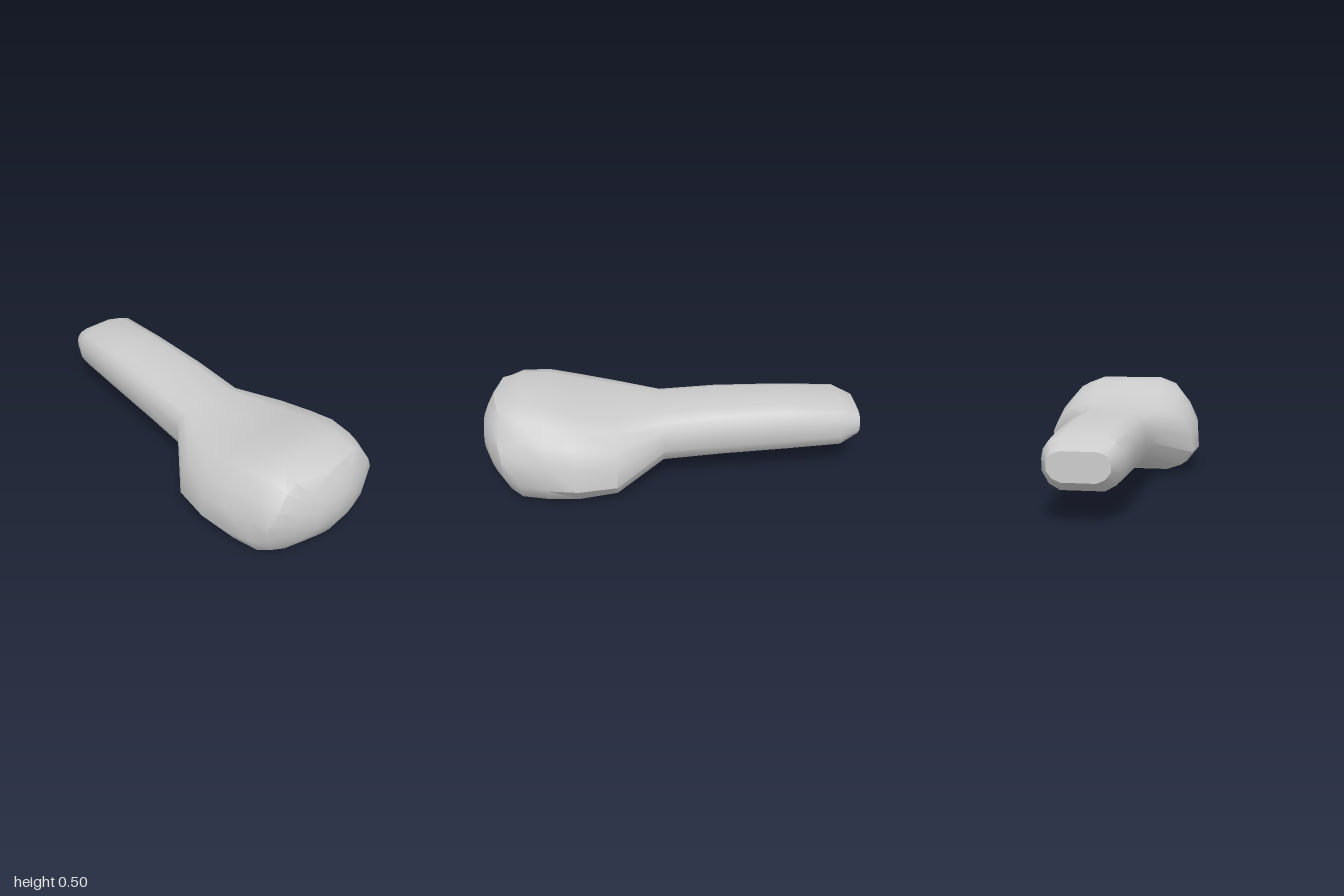
import * as THREE from 'three';
import { toCreasedNormals } from 'three/addons/utils/BufferGeometryUtils.js';

// Half cross-sections as [x, y] fractions, from bottom to top
const HANDLE = [[0.55, 0], [0.82, 0.12], [1, 0.36], [1, 0.6], [0.96, 0.76], [0.82, 0.92], [0.55, 1]];
const HEAD = [[0.65, 0], [0.84, 0.07], [1, 0.27], [0.98, 0.55], [0.87, 0.76], [0.7, 0.93], [0.46, 1]];

// Stations from back to front: z, half width, bottom, top, blend from handle to head
const STATIONS = [
  [-1, 0.145, 0.2, 0.34, 0],
  [-0.9, 0.187, 0.145, 0.39, 0],
  [-0.6, 0.197, 0.13, 0.405, 0],
  [-0.25, 0.21, 0.12, 0.405, 0],
  [0.05, 0.22, 0.105, 0.387, 0],
  [0.3, 0.405, 0.02, 0.4, 1],
  [0.5, 0.43, 0.002, 0.444, 1],
  [0.65, 0.42, 0, 0.485, 1],
  [0.79, 0.382, 0.002, 0.5, 1],
];

// Outline of the bulging front face
const FACE = [[0.21, 0.035], [0.28, 0.06], [0.325, 0.16], [0.35, 0.265], [0.305, 0.35], [0.25, 0.43], [0.19, 0.465]];
const FACE_Y = 0.265;
const faceZ = (x, y) => 1 - 0.12 * (x / 0.35) ** 2 - 0.07 * ((y - FACE_Y) / 0.2) ** 2;

// Mirrors a half section into a closed ring, with a centre point at bottom and top
function closeRing(half, zAt) {
  const ring = [
    [0, half[0][1]],
    ...half,
    [0, half[half.length - 1][1]],
    ...half.slice().reverse().map(([x, y]) => [-x, y]),
  ];
  return ring.map(([x, y]) => [x, y, zAt(x, y)]);
}

// Skins a row of rings and closes both ends with fans
function loft(rings, backCentre, frontCentre) {
  const n = rings[0].length;
  const positions = [...rings.flat(2), ...backCentre, ...frontCentre];
  const back = rings.length * n;
  const front = back + 1;
  const last = (rings.length - 1) * n;
  const index = [];
  for (let j = 0; j < n; j++) {
    const k = (j + 1) % n;
    for (let i = 0; i < rings.length - 1; i++) {
      const a = i * n + j, b = i * n + k;
      index.push(a, b, b + n, a, b + n, a + n);
    }
    index.push(back, k, j, front, last + j, last + k);
  }
  const geometry = new THREE.BufferGeometry();
  geometry.setAttribute('position', new THREE.Float32BufferAttribute(positions, 3));
  geometry.setIndex(index);
  return toCreasedNormals(geometry, 0.72);
}

export function createModel() {
  const group = new THREE.Group();
  group.name = 'handheldTool';

  // Handle, neck and head
  const rings = STATIONS.map(([z, halfWidth, bottom, top, blend]) => {
    const half = HANDLE.map(([x, y], i) => [
      halfWidth * THREE.MathUtils.lerp(x, HEAD[i][0], blend),
      bottom + (top - bottom) * THREE.MathUtils.lerp(y, HEAD[i][1], blend),
    ]);
    return closeRing(half, () => z);
  });

  // Front face, shrinking towards its centre
  for (const s of [1, 0.7, 0.38]) {
    const half = FACE.map(([x, y]) => [x * s, FACE_Y + (y - FACE_Y) * s]);
    rings.push(closeRing(half, faceZ));
  }

  const material = new THREE.MeshStandardMaterial({ color: 0xcccccc });
  const body = new THREE.Mesh(loft(rings, [0, 0.27, -1], [0, FACE_Y, 1]), material);
  body.name = 'headAndHandle';
  group.add(body);
  return group;
}
